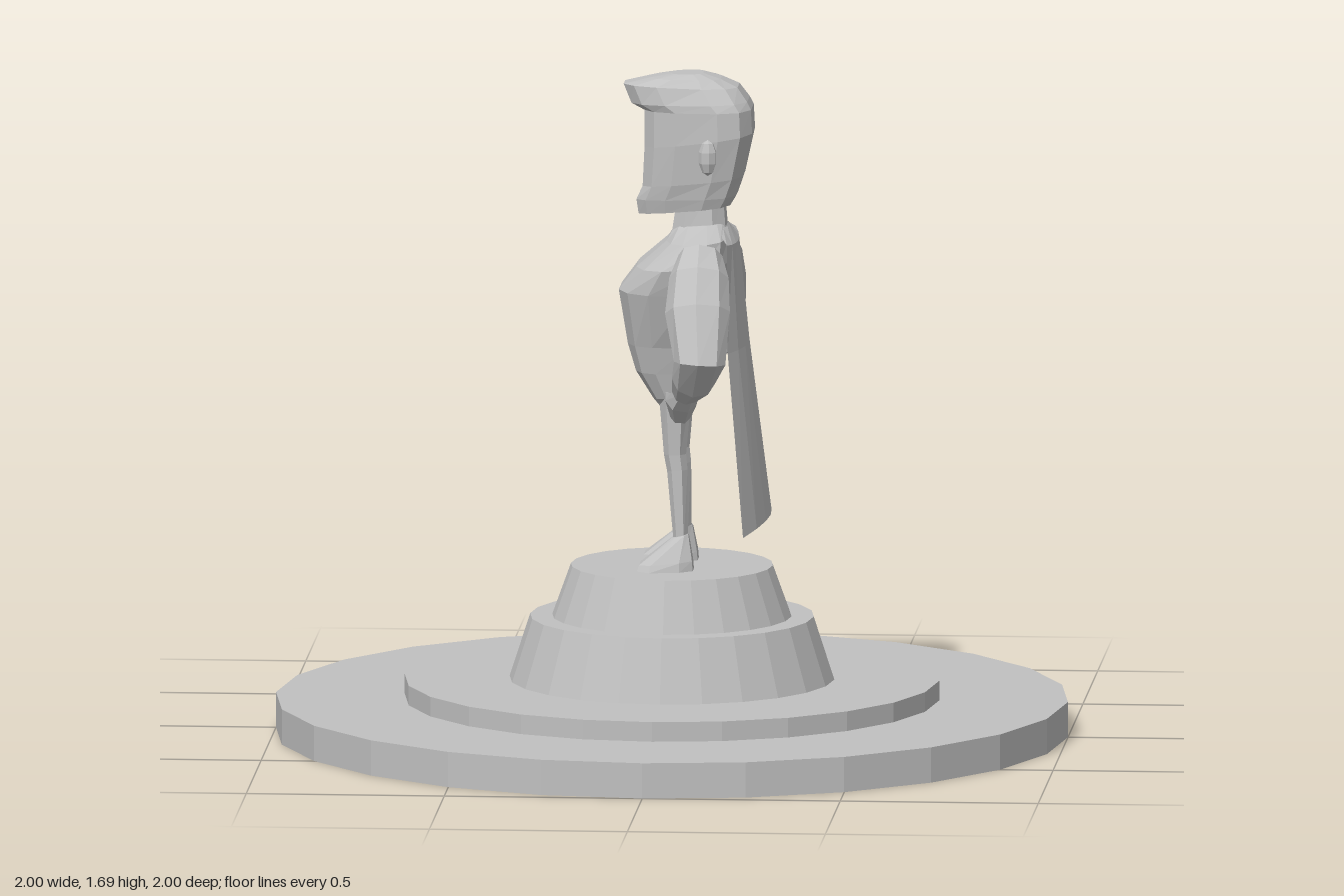
import * as THREE from 'three';

const stone = new THREE.MeshStandardMaterial({ color: 0xc0c0c0, side: THREE.DoubleSide });
stone.name = 'grey stone';

// faceted mesh from any geometry
function addMesh(parent, name, geometry) {
  const g = geometry.index ? geometry.toNonIndexed() : geometry;
  g.computeVertexNormals();
  const mesh = new THREE.Mesh(g, stone);
  mesh.name = name;
  parent.add(mesh);
  return mesh;
}

// skin over a list of equal-length rings, with both ends capped
function loft(rings) {
  const n = rings[0].length, pos = [];
  const tri = (...p) => p.forEach(v => pos.push(v.x, v.y, v.z));
  for (let i = 0; i < rings.length - 1; i++) {
    for (let j = 0; j < n; j++) {
      const k = (j + 1) % n, a = rings[i], b = rings[i + 1];
      tri(a[j], a[k], b[k]);
      tri(a[j], b[k], b[j]);
    }
  }
  const first = rings[0], last = rings[rings.length - 1];
  for (let j = 1; j < n - 1; j++) {
    tri(first[0], first[j + 1], first[j]);
    tri(last[0], last[j], last[j + 1]);
  }
  const g = new THREE.BufferGeometry();
  g.setAttribute('position', new THREE.Float32BufferAttribute(pos, 3));
  return g;
}

// level cross-section: y and half width may differ at front (-x) and back (+x)
function section([yF, yB, xF, xB, wF, wB, cz = 0], n = 12, power = 0.7) {
  const round = v => Math.sign(v) * Math.pow(Math.abs(v), power);
  return Array.from({ length: n }, (_, j) => {
    const t = (j + 0.5) / n * Math.PI * 2;
    const c = round(Math.cos(t)) / round(Math.cos(Math.PI / n)), s = round(Math.sin(t));
    const k = (c + 1) / 2;
    return new THREE.Vector3(
      THREE.MathUtils.lerp(xF, xB, k),
      THREE.MathUtils.lerp(yF, yB, k),
      cz - s * THREE.MathUtils.lerp(wF, wB, k));
  });
}
const body = (rows, n, power) => loft(rows.map(r => section(r, n, power)));

// limb through points [x, y, z, radius along x, radius across]
function limb(points, side, n = 8) {
  const p = points.map(q => new THREE.Vector3(q[0], q[1], q[2] * side));
  return loft(p.map((c, i) => {
    const t = p[Math.min(i + 1, p.length - 1)].clone().sub(p[Math.max(i - 1, 0)]).normalize();
    const u = new THREE.Vector3(1, 0, 0).addScaledVector(t, -t.x).normalize();
    const v = t.clone().cross(u);
    return Array.from({ length: n }, (_, j) => {
      const a = j / n * Math.PI * 2;
      return c.clone().addScaledVector(u, Math.cos(a) * points[i][3])
        .addScaledVector(v, Math.sin(a) * points[i][4]);
    });
  }));
}

// cape rows: [y edge, y middle, half width, x edge, x middle]
function capeGeometry() {
  const rows = [
    [1.30, 1.30, 0.09, 0.12, 0.145], [1.27, 1.26, 0.15, 0.15, 0.168],
    [1.0, 1.0, 0.19, 0.155, 0.195], [0.545, 0.56, 0.275, 0.2, 0.25]];
  const g = new THREE.PlaneGeometry(1, 1, 6, rows.length - 1);
  const p = g.attributes.position;
  for (let i = 0; i < p.count; i++) {
    const [yE, yM, w, xE, xM] = rows[Math.floor(i / 7)];
    const s = (i % 7) / 3 - 1, k = 1 - s * s;
    p.setXYZ(i, xE + (xM - xE) * k, yE + (yM - yE) * k, -s * w);
  }
  return g;
}

export function createModel() {
  const model = new THREE.Group();
  model.name = 'caped statue';

  // hollow stepped pedestal, open underneath
  const profile = [[1, 0], [1, 0.09], [0.675, 0.09], [0.675, 0.14], [0.41, 0.14],
    [0.358, 0.3], [0.302, 0.3], [0.255, 0.43], [0, 0.43]];
  addMesh(model, 'pedestal', new THREE.LatheGeometry(profile.map(q => new THREE.Vector2(...q)), 24));

  const figure = new THREE.Group();
  figure.name = 'figure';
  model.add(figure);

  // broad chest tapering to narrow hips
  addMesh(figure, 'torso', body([
    [0.82, 0.82, -0.015, 0.045, 0.045, 0.045],
    [0.86, 0.88, -0.045, 0.075, 0.085, 0.085],
    [0.93, 0.93, -0.088, 0.09, 0.1, 0.1],
    [1.0, 1.0, -0.108, 0.11, 0.115, 0.12],
    [1.14, 1.14, -0.13, 0.14, 0.15, 0.19],
    [1.2, 1.22, -0.085, 0.155, 0.17, 0.22],
    [1.265, 1.28, -0.01, 0.15, 0.14, 0.2],
    [1.3, 1.31, 0.01, 0.13, 0.06, 0.08]]));
  addMesh(figure, 'neck', body([
    [1.27, 1.27, 0.0, 0.14, 0.065, 0.08],
    [1.4, 1.4, 0.02, 0.13, 0.055, 0.06]], 8));

  // head: strong jaw below, swept hair above
  const brow = [1.595, 1.6, -0.067, 0.203, 0.085, 0.125];
  addMesh(figure, 'face', body([
    [1.328, 1.355, -0.083, 0.15, 0.05, 0.1],
    [1.365, 1.38, -0.088, 0.165, 0.06, 0.108],
    [1.4, 1.43, -0.072, 0.182, 0.075, 0.115],
    [1.5, 1.54, -0.067, 0.206, 0.085, 0.13],
    brow]));
  addMesh(figure, 'hair', body([
    brow,
    [1.612, 1.62, -0.1, 0.193, 0.08, 0.12],
    [1.66, 1.655, -0.12, 0.168, 0.07, 0.095],
    [1.677, 1.675, -0.05, 0.125, 0.06, 0.07],
    [1.686, 1.688, 0.0, 0.08, 0.035, 0.04]]));

  for (const side of [1, -1]) {
    const label = side > 0 ? 'front' : 'back';
    const ear = addMesh(figure, label + 'Ear', new THREE.SphereGeometry(1, 7, 5));
    ear.scale.set(0.024, 0.046, 0.02);
    ear.position.set(0.1, 1.49, side * 0.128);

    // arm bent with the hand resting on the hip
    addMesh(figure, label + 'Arm', limb([
      [0.085, 1.25, 0.18, 0.055, 0.05],
      [0.085, 1.2, 0.225, 0.075, 0.06],
      [0.085, 1.12, 0.275, 0.082, 0.062],
      [0.095, 1.0, 0.335, 0.065, 0.06],
      [0.075, 0.945, 0.285, 0.055, 0.045],
      [0.05, 0.9, 0.2, 0.035, 0.03]], side));
    addMesh(figure, label + 'Hand', limb([
      [0.055, 0.915, 0.205, 0.03, 0.03],
      [0.035, 0.87, 0.165, 0.04, 0.032],
      [0.03, 0.825, 0.125, 0.025, 0.02]], side, 6));

    // thin leg and wedge shaped foot
    addMesh(figure, label + 'Leg', limb([
      [0.012, 0.88, 0.05, 0.042, 0.045],
      [0.012, 0.72, 0.058, 0.028, 0.026],
      [0.018, 0.68, 0.06, 0.026, 0.024],
      [0.027, 0.5, 0.068, 0.018, 0.02]], side, 6));
    addMesh(figure, label + 'Foot', body([
      [0.43, 0.43, -0.08, 0.06, 0.075, 0.045, side * 0.083],
      [0.445, 0.455, -0.075, 0.058, 0.065, 0.042, side * 0.082],
      [0.51, 0.52, 0.005, 0.047, 0.02, 0.02, side * 0.07]], 8));
  }

  addMesh(figure, 'cape', capeGeometry());
  return model;
}
